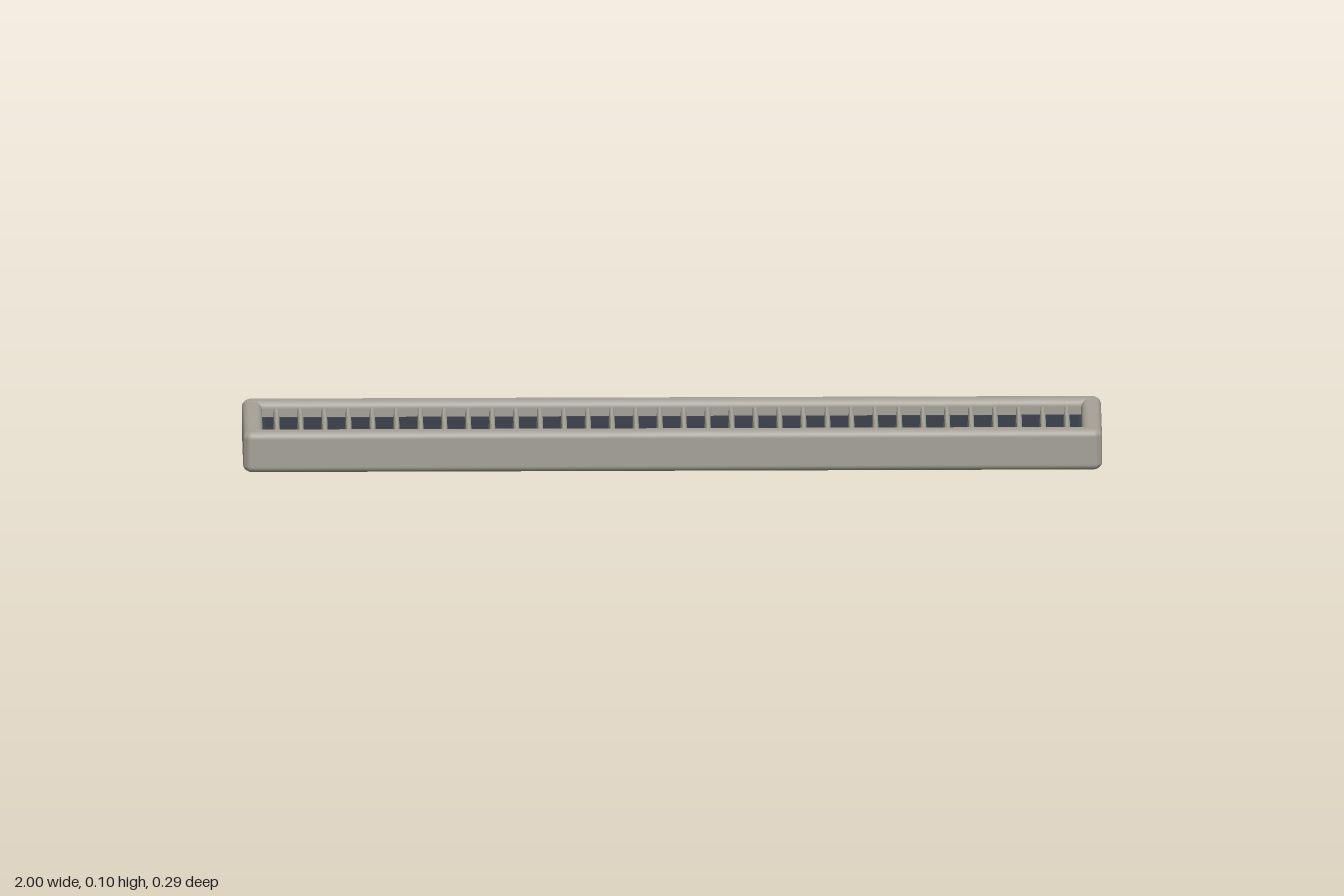
import * as THREE from 'three';
import { RoundedBoxGeometry } from 'three/addons/geometries/RoundedBoxGeometry.js';

const material = (name, color) => {
  const m = new THREE.MeshStandardMaterial({ color });
  m.name = name;
  return m;
};

export function createModel() {
  const group = new THREE.Group();
  const stone = material('warm grey', 0xa6a297);
  const slate = material('dark slate', 0x3a404d);
  const amber = material('amber', 0xd18d30);

  const add = (name, geometry, mat, x, y, z) => {
    const mesh = new THREE.Mesh(geometry, mat);
    mesh.name = name;
    mesh.position.set(x, y, z);
    group.add(mesh);
    return mesh;
  };

  // Rounded frame: two long rails and two end rails
  const height = 0.098, rail = 0.046;
  const longRail = new RoundedBoxGeometry(1.992, height, rail, 4, 0.016);
  const endRail = new RoundedBoxGeometry(rail, height - 0.002, 0.284, 4, 0.016);
  for (const side of [-1, 1]) {
    add(side > 0 ? 'frontRail' : 'backRail', longRail, stone, 0, height / 2, side * (0.146 - rail / 2));
    add(side > 0 ? 'leftEndRail' : 'rightEndRail', endRail, stone, side * (1 - rail / 2), height / 2, 0);
  }

  // Dark tray closing the underside, with an amber plate on its floor
  add('tray', new THREE.BoxGeometry(1.93, 0.012, 0.224), slate, 0, 0.014, 0);
  add('floorPlate', new THREE.BoxGeometry(1.82, 0.006, 0.176), amber, 0, 0.023, 0);

  // Dark lining on the inner walls
  for (const side of [-1, 1]) {
    add('sideLining', new THREE.BoxGeometry(1.91, 0.045, 0.008), slate, 0, 0.04, side * 0.097);
    add('endLining', new THREE.BoxGeometry(0.008, 0.045, 0.2), slate, side * 0.951, 0.04, 0);
  }

  // Row of upright slats, tapering towards the top
  const profile = new THREE.Shape();
  profile.moveTo(-0.0085, 0);
  profile.lineTo(0.0085, 0);
  profile.lineTo(0.006, 0.058);
  profile.lineTo(0.003, 0.062);
  profile.lineTo(-0.003, 0.062);
  profile.lineTo(-0.006, 0.058);
  profile.closePath();
  const slat = new THREE.ExtrudeGeometry(profile, { depth: 0.204, bevelEnabled: false });
  slat.translate(0, 0, -0.102);
  const count = 34;
  for (let i = 0; i < count; i++) {
    add('slat', slat, stone, -0.92 + (1.84 * i) / (count - 1), 0.022, 0);
  }
  return group;
}
